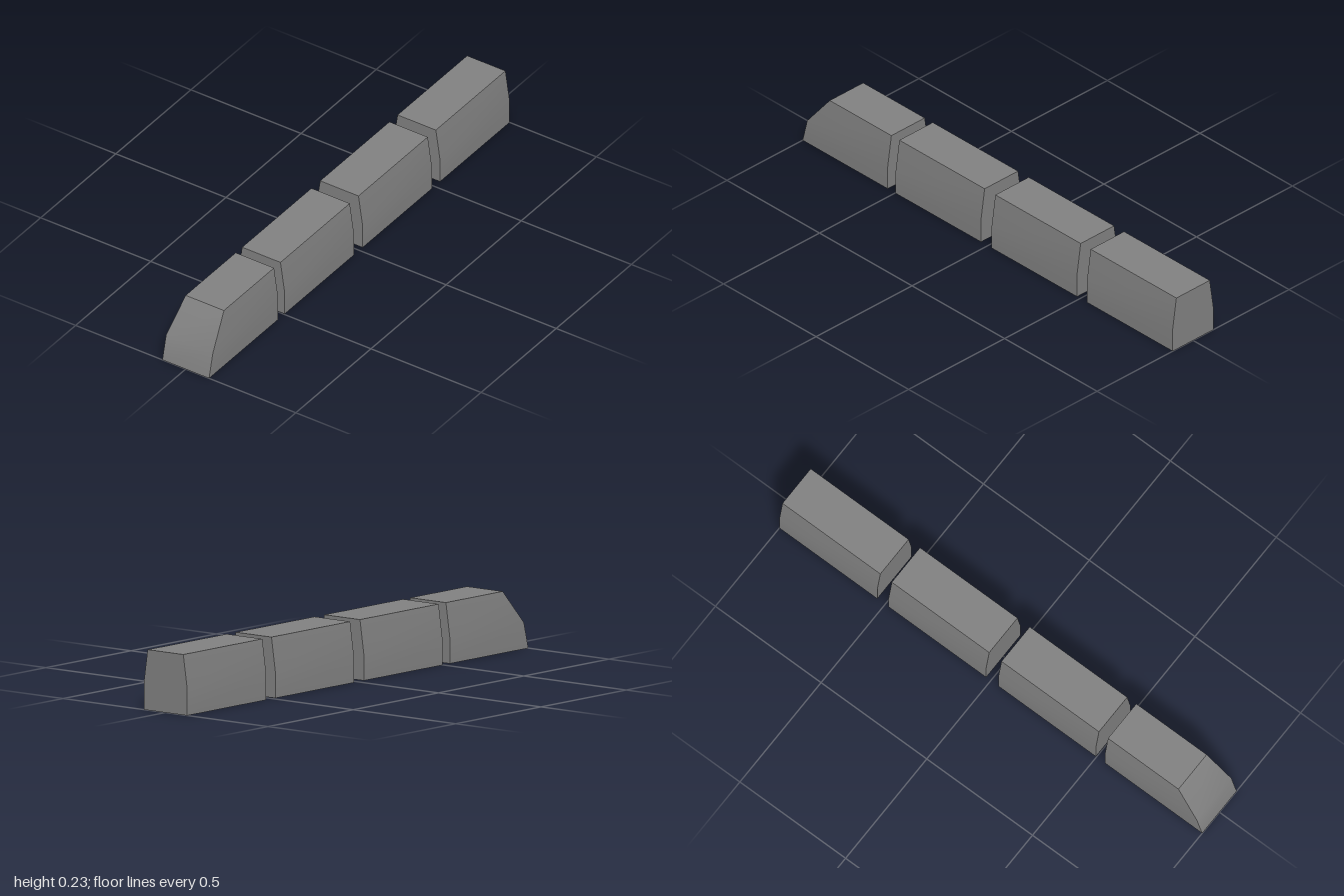
import * as THREE from 'three';
import { toCreasedNormals } from 'three/addons/utils/BufferGeometryUtils.js';

// Cross-section levels, from floor to waist to roof
const HEIGHT = [0, 0.1, 0.23];
const HALF_WIDTH = [0.106, 0.106, 0.087];
const NOSE_SETBACK = [0, 0.025, 0.127];

// A box with one waist loop, its vertices moved to the tapered body shape
function carBody(back, front, hasNose) {
  const geometry = new THREE.BoxGeometry(2, 2, 2, 1, 2, 1);
  const p = geometry.attributes.position;
  for (let i = 0; i < p.count; i++) {
    const level = Math.round(p.getY(i)) + 1;
    const x = Math.sign(p.getX(i)) * HALF_WIDTH[level];
    const setback = hasNose ? NOSE_SETBACK[level] : 0;
    const z = p.getZ(i) > 0 ? front - setback : back;
    p.setXYZ(i, x, HEIGHT[level], z);
  }
  return toCreasedNormals(geometry, 0.6);
}

export function createModel() {
  const model = new THREE.Group();
  model.name = 'train';
  const bodyGrey = new THREE.MeshStandardMaterial({ color: 0x808080 });
  bodyGrey.name = 'body grey';

  // Leading car with sloped nose, then the plain cars behind it
  const cars = [
    ['leadingCar', 0.54, 1],
    ['frontCarriage', 0.036, 0.497],
    ['middleCarriage', -0.483, -0.022],
    ['rearCarriage', -1, -0.537],
  ];
  cars.forEach(([name, back, front], i) => {
    const car = new THREE.Mesh(carBody(back, front, i === 0), bodyGrey);
    car.name = name;
    model.add(car);
  });
  return model;
}
